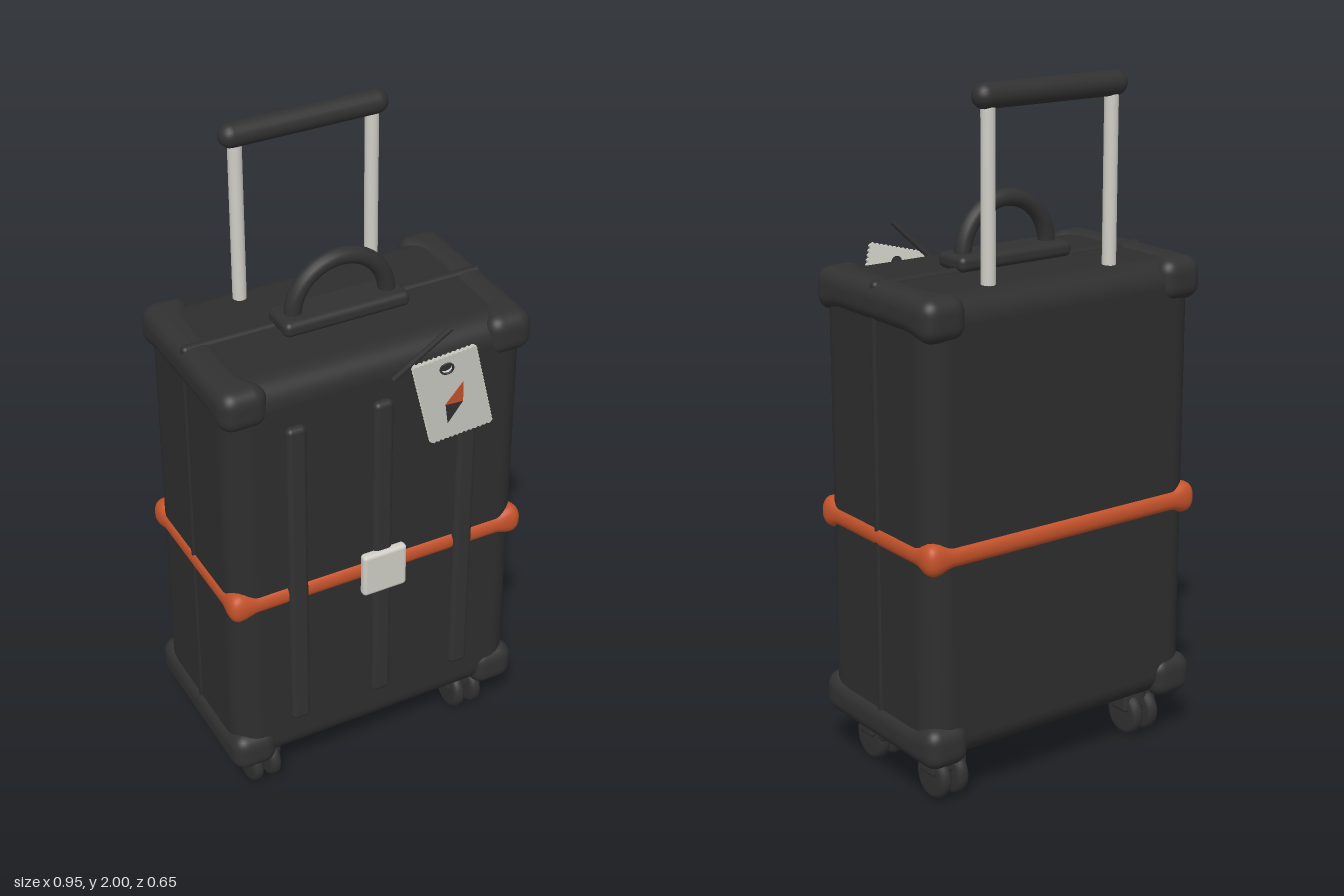
import * as THREE from 'three';
import { RoundedBoxGeometry } from 'three/addons/geometries/RoundedBoxGeometry.js';
import { mergeVertices } from 'three/addons/utils/BufferGeometryUtils.js';

const mat = (name, color) => {
  const m = new THREE.MeshStandardMaterial({ color });
  m.name = name;
  return m;
};

// Finely divided rounded box, reshaped by a rule so that it can bulge.
function bulgedBox(w, h, d, r, segs, rule) {
  let g = new THREE.BoxGeometry(w, h, d, ...segs);
  const p = g.attributes.position;
  const half = new THREE.Vector3(w / 2 - r, h / 2 - r, d / 2 - r);
  const v = new THREE.Vector3(), core = new THREE.Vector3();
  for (let i = 0; i < p.count; i++) {
    v.fromBufferAttribute(p, i);
    core.copy(v).clamp(half.clone().negate(), half);
    v.sub(core).normalize().multiplyScalar(r).add(core);
    rule(v);
    p.setXYZ(i, v.x, v.y, v.z);
  }
  g.deleteAttribute('uv');
  g.deleteAttribute('normal');
  g = mergeVertices(g, 1e-5);
  g.computeVertexNormals();
  return g;
}

export function createModel() {
  const shell = mat('charcoal shell', 0x2e2e2f);
  const rubber = mat('dark trim', 0x313132);
  const orange = mat('orange strap', 0xc4522a);
  const metal = mat('pale metal', 0xcfcdc5);
  const card = mat('tag card', 0xccccc4);

  const model = new THREE.Group();
  const add = (name, geo, material, x = 0, y = 0, z = 0, parent = model) => {
    const m = new THREE.Mesh(geo, material);
    m.name = name;
    m.position.set(x, y, z);
    parent.add(m);
    return m;
  };
  const box = (w, h, d, r, s = 4) => new RoundedBoxGeometry(w, h, d, s, r);
  const cz = -0.046;
  const smooth = THREE.MathUtils.smoothstep;

  // Shell and the raised seam running around its middle
  add('body', box(0.92, 1.32, 0.532, 0.075, 8), shell, 0, 0.805, cz);
  add('seam', box(0.93, 1.342, 0.03, 0.014), shell, 0, 0.805, -0.053);

  // Edge guards: bars along the depth that widen at both ends
  for (const sx of [-1, 1]) for (const sy of [-1, 1]) {
    const geo = bulgedBox(0.11, 0.11, 0.558, 0.043, [12, 12, 48], (v) => {
      const t = smooth(Math.abs(v.z), 0.16, 0.25);
      if (v.x * sx < 0) v.x -= sx * 0.03 * t;
      if (v.y * sy < 0) v.y -= sy * 0.014 * t;
    });
    add('edgeGuard', geo, rubber, sx * 0.42, 0.805 + sy * 0.612, cz - 0.002);
  }

  // Front ribs
  for (const x of [-0.265, 0, 0.265]) {
    add('frontRib', box(0.06, 1.035, 0.04, 0.016), rubber, x, 0.807, 0.221);
  }

  // Strap band, thicker at its four corners, and the buckle
  const band = bulgedBox(0.936, 0.066, 0.554, 0.03, [80, 8, 48], (v) => {
    const k = smooth(Math.abs(v.x), 0.385, 0.435) * smooth(Math.abs(v.z), 0.195, 0.24);
    v.y *= 1 + 0.4 * k;
    v.x += Math.sign(v.x) * 0.004 * k;
    v.z += Math.sign(v.z) * 0.003 * k;
  });
  add('strap', band, orange, 0, 0.755, -0.047);
  add('buckle', box(0.14, 0.142, 0.03, 0.012), metal, 0, 0.754, 0.24);

  // Carry handle
  add('handleBase', box(0.385, 0.045, 0.12, 0.018), rubber, 0, 1.486, -0.026);
  add('carryHandle', new THREE.TorusGeometry(0.145, 0.025, 14, 40, Math.PI), rubber, 0, 1.5, -0.024);

  // Telescopic pull handle
  for (const s of [-1, 1]) {
    add('pullRod', new THREE.CylinderGeometry(0.02, 0.02, 0.55, 20), metal, s * 0.207, 1.69, -0.228);
  }
  const grip = add('pullGrip', new THREE.CapsuleGeometry(0.035, 0.436, 8, 20), rubber, 0, 1.965, -0.228);
  grip.rotation.z = Math.PI / 2;

  // Twin-wheel casters
  const profile = [[0.001, -0.019], [0.052, -0.019], [0.062, -0.015], [0.067, -0.007],
    [0.067, 0.007], [0.062, 0.015], [0.052, 0.019], [0.001, 0.019]];
  const wheelGeo = new THREE.LatheGeometry(profile.map(([x, y]) => new THREE.Vector2(x, y)), 32);
  for (const x of [-0.35, 0.35]) for (const z of [0.11, -0.203]) {
    const caster = new THREE.Group();
    caster.name = 'caster';
    caster.position.set(x, 0, z);
    model.add(caster);
    add('casterHousing', box(0.122, 0.062, 0.07, 0.012), rubber, 0, 0.109, 0, caster);
    add('casterStem', new THREE.CylinderGeometry(0.04, 0.04, 0.05, 20), rubber, 0, 0.142, 0, caster);
    const axle = add('axle', new THREE.CylinderGeometry(0.016, 0.016, 0.08, 14), rubber, 0, 0.067, 0, caster);
    axle.rotation.z = Math.PI / 2;
    for (const s of [-1, 1]) {
      const wheel = add('wheel', wheelGeo, rubber, s * 0.029, 0.067, 0, caster);
      wheel.rotation.z = Math.PI / 2;
    }
  }

  // Hanging tag, tilted in space
  const tag = new THREE.Group();
  tag.name = 'luggageTag';
  const right = new THREE.Vector3(0.175, 0.045, 0.04).normalize();
  const normal = right.clone().cross(new THREE.Vector3(-0.07, 0.285, 0.024)).normalize();
  const up = normal.clone().cross(right);
  tag.quaternion.setFromRotationMatrix(new THREE.Matrix4().makeBasis(right, up, normal));
  tag.position.set(0.18, 1.324, 0.287);
  model.add(tag);

  // Card with a serrated outline and a punched hole
  const hw = 0.088, hh = 0.144, outline = [];
  const corners = [[-hw, -hh], [hw, -hh], [hw, hh], [-hw, hh]];
  corners.forEach(([x0, y0], i) => {
    const [x1, y1] = corners[(i + 1) % 4];
    const len = Math.hypot(x1 - x0, y1 - y0), n = Math.round(len / 0.014) * 2;
    for (let k = 0; k < n; k++) {
      const out = k % 2 ? 0.005 : 0;
      outline.push(new THREE.Vector2(
        x0 + (x1 - x0) * k / n + (y1 - y0) / len * out,
        y0 + (y1 - y0) * k / n - (x1 - x0) / len * out));
    }
  });
  const cardShape = new THREE.Shape(outline);
  cardShape.holes.push(new THREE.Path().absarc(0, 0.105, 0.018, 0, Math.PI * 2, true));
  add('tagCard', new THREE.ExtrudeGeometry(cardShape, { depth: 0.012, bevelEnabled: false, curveSegments: 16 }),
    card, 0, 0, -0.006, tag);
  add('tagEyelet', new THREE.TorusGeometry(0.018, 0.003, 8, 24), rubber, 0, 0.105, 0.006, tag);

  // Two-tone needle on the tag
  const plate = (pts) => new THREE.ExtrudeGeometry(
    new THREE.Shape(pts.map(([x, y]) => new THREE.Vector2(x, y))), { depth: 0.004, bevelEnabled: false });
  add('needleUpper', plate([[-0.026, -0.021], [0.023, -0.028], [0.036, 0.04]]), orange, 0, 0, 0.005, tag);
  add('needleLower', plate([[-0.026, -0.021], [-0.032, -0.089], [0.023, -0.028]]), rubber, 0, 0, 0.005, tag);

  // Cord behind the tag
  const cord = new THREE.LineCurve3(new THREE.Vector3(0.024, 1.392, 0.238), new THREE.Vector3(0.166, 1.544, 0.293));
  add('tagCord', new THREE.TubeGeometry(cord, 1, 0.008, 10), rubber);

  return model;
}
